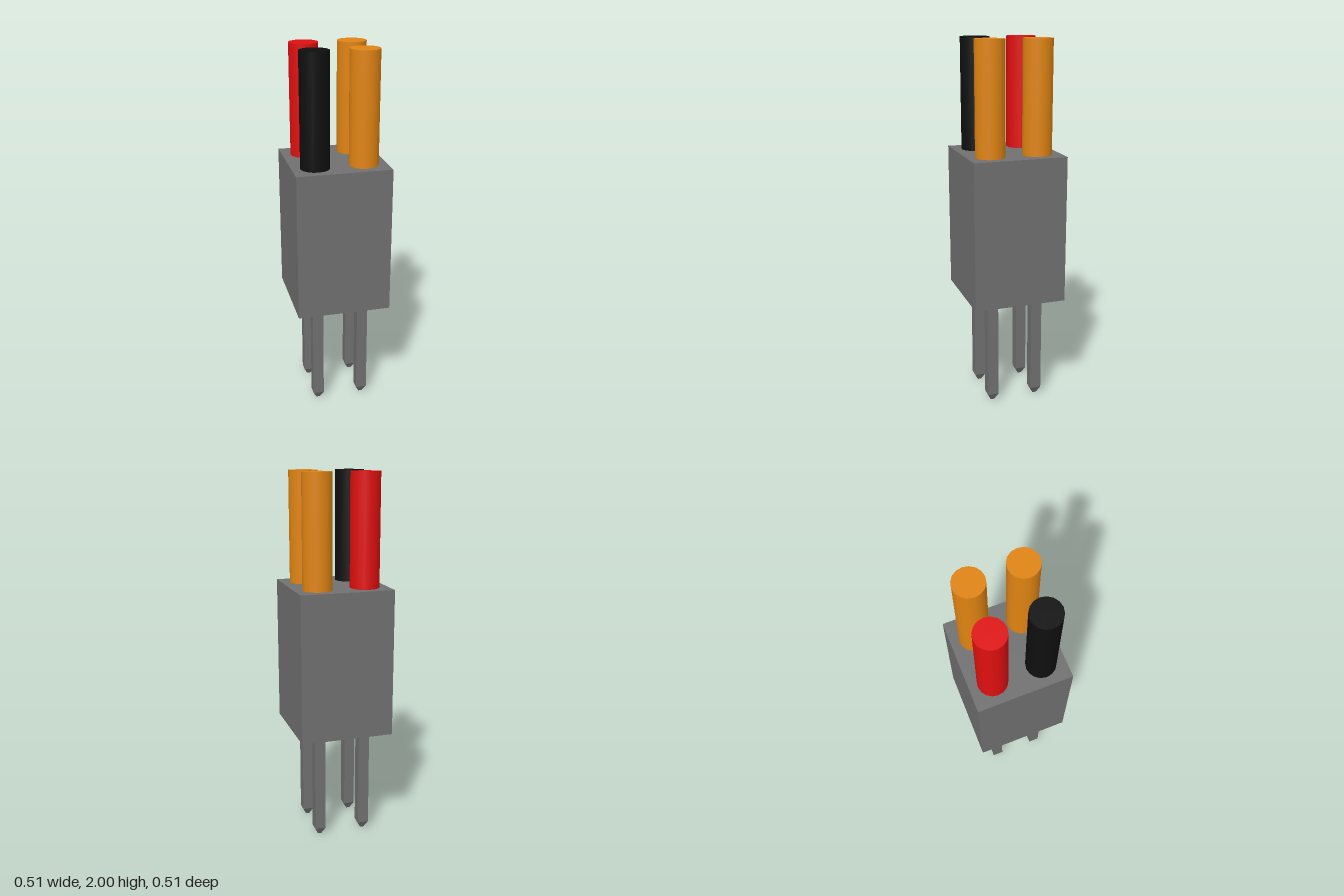
import * as THREE from 'three';

const material = (name, color) => {
  const m = new THREE.MeshStandardMaterial({ color });
  m.name = name;
  return m;
};

export function createModel() {
  const grey = material('grey', 0x707070);
  const orange = material('orange', 0xe08412);
  const red = material('red', 0xe00f0f);
  const black = material('black', 0x0f0f0f);

  const model = new THREE.Group();
  model.name = 'pinConnector';
  const add = (name, geometry, mat, x, y, z) => {
    const mesh = new THREE.Mesh(geometry, mat);
    mesh.name = name;
    mesh.position.set(x, y, z);
    model.add(mesh);
  };

  // Square housing block
  add('housing', new THREE.BoxGeometry(0.508, 0.8, 0.508), grey, 0, 1, 0);

  // Square pin with tapered tip, made from four-sided cylinders turned flat to the axes
  const squareBar = (topWidth, bottomWidth, height) =>
    new THREE.CylinderGeometry(topWidth / Math.SQRT2, bottomWidth / Math.SQRT2, height, 4)
      .rotateY(Math.PI / 4).toNonIndexed();
  const shaft = squareBar(0.06, 0.06, 0.56);
  const tip = squareBar(0.06, 0.02, 0.04);
  for (const g of [shaft, tip]) g.computeVertexNormals();

  // One wire above and one pin below at each of the four positions
  const wire = new THREE.CylinderGeometry(0.079, 0.079, 0.6, 16);
  const positions = [
    ['frontRight', -1, 1, black],
    ['backRight', -1, -1, red],
    ['frontLeft', 1, 1, orange],
    ['backLeft', 1, -1, orange],
  ];
  for (const [name, sx, sz, mat] of positions) {
    add(name + 'Wire', wire, mat, sx * 0.13, 1.7, sz * 0.13);
    add(name + 'Pin', shaft, grey, sx * 0.127, 0.32, sz * 0.127);
    add(name + 'PinTip', tip, grey, sx * 0.127, 0.02, sz * 0.127);
  }
  return model;
}
